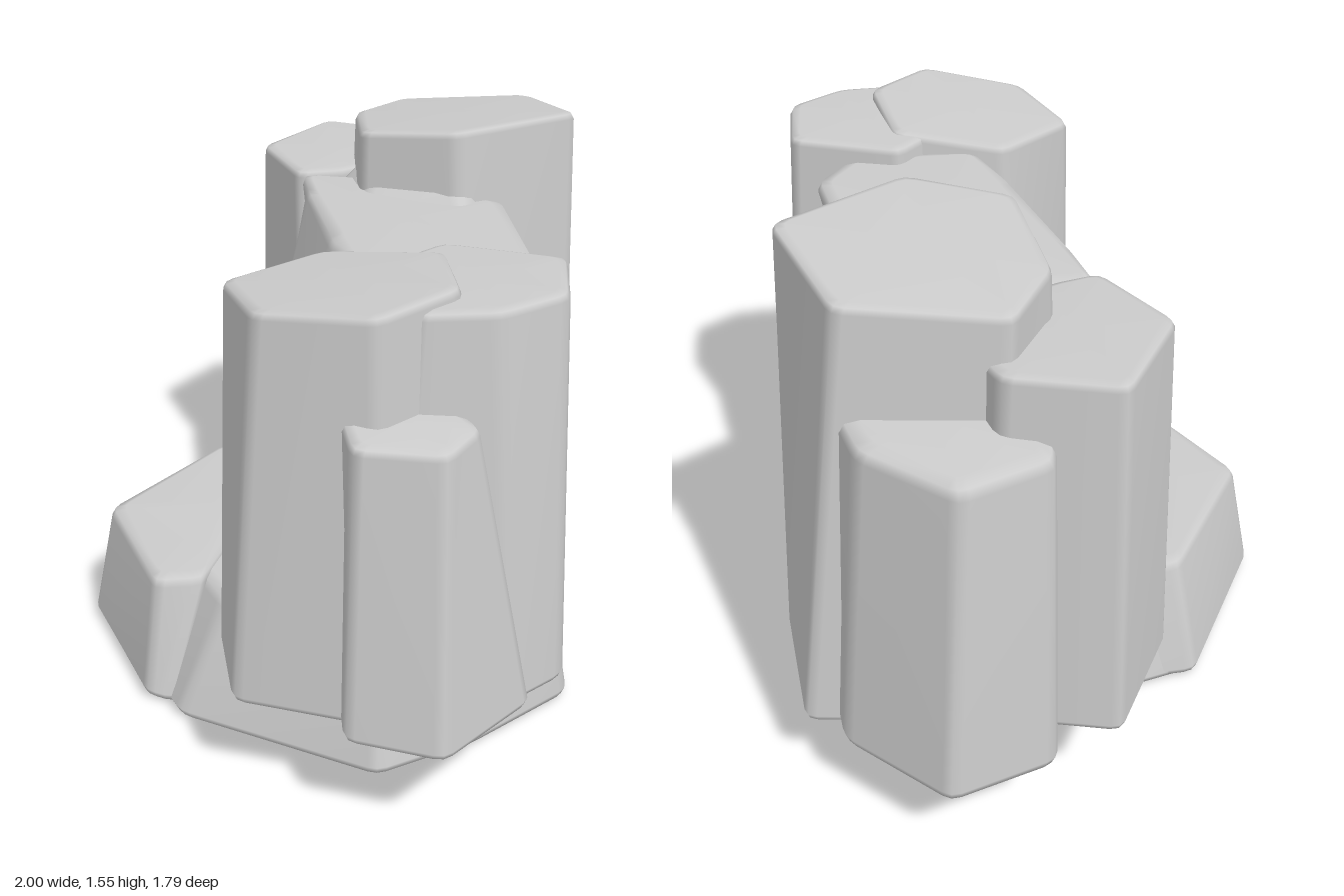
import * as THREE from 'three';

const material = new THREE.MeshStandardMaterial({ color: 0xcccccc });

// Replace each corner of an [x, z] outline by a short three-point curve.
function roundCorners(outline, r) {
  const n = outline.length, out = [];
  const toward = (p, q) => {
    const d = Math.hypot(q[0] - p[0], q[1] - p[1]);
    const t = Math.min(r / d, 0.4);
    return [p[0] + (q[0] - p[0]) * t, p[1] + (q[1] - p[1]) * t];
  };
  outline.forEach((p, i) => {
    const a = toward(p, outline[(i + n - 1) % n]), b = toward(p, outline[(i + 1) % n]);
    out.push(a, [(a[0] + 2 * p[0] + b[0]) / 4, (a[1] + 2 * p[1] + b[1]) / 4], b);
  });
  return out;
}

const centre = (o) => [0, 1].map((k) => o.reduce((s, p) => s + p[k], 0) / o.length);

// Move an outline a fixed distance towards its centre.
function inset(outline, d) {
  const [cx, cz] = centre(outline);
  return outline.map(([x, z]) => {
    const k = 1 - d / Math.hypot(x - cx, z - cz);
    return [cx + (x - cx) * k, cz + (z - cz) * k];
  });
}

// Tapered stone between two outlines, with softened rims and a tilted top.
// Outlines run from +x towards +z; tilt is the top's slope along x and z.
function stone(name, bottom, top, y0, y1, { tilt = [0, 0], bevel = 0.022, round = 0.03 } = {}) {
  const lo = roundCorners(bottom, round), hi = roundCorners(top, round);
  const c = centre(hi), n = lo.length;
  const topY = (p, drop) => y1 - drop + tilt[0] * (p[0] - c[0]) + tilt[1] * (p[1] - c[1]);
  const flat = (y) => () => y;
  const rings = [
    [inset(lo, bevel * 1.3), flat(y0)],
    [inset(lo, bevel * 0.3), flat(y0 + bevel * 0.3)],
    [lo, flat(y0 + bevel)],
    [hi, (p) => topY(p, bevel)],
    [inset(hi, bevel * 0.4), (p) => topY(p, bevel * 0.3)],
    [inset(hi, bevel * 1.5), (p) => topY(p, 0)],
  ];
  const pos = [], index = [];
  for (const [ring, y] of rings) for (const p of ring) pos.push(p[0], y(p), p[1]);
  const cl = centre(lo), base = rings.length * n;
  pos.push(cl[0], y0, cl[1], c[0], y1, c[1]);
  for (let j = 0; j < n; j++) {
    const k = (j + 1) % n, last = (rings.length - 1) * n;
    for (let i = 0; i < rings.length - 1; i++) {
      const a = i * n + j, b = i * n + k;
      index.push(a, a + n, b, b, a + n, b + n);
    }
    index.push(base, j, k, base + 1, last + k, last + j);
  }
  const geometry = new THREE.BufferGeometry();
  geometry.setAttribute('position', new THREE.Float32BufferAttribute(pos, 3));
  geometry.setIndex(index);
  geometry.computeVertexNormals();
  const mesh = new THREE.Mesh(geometry, material);
  mesh.name = name;
  return mesh;
}

function cluster(name, ...stones) {
  const group = new THREE.Group();
  group.name = name;
  group.add(...stones);
  return group;
}

export function createModel() {
  const model = new THREE.Group();
  model.name = 'rockArch';

  // Wide foot with a thicker slab on its open front corner
  model.add(cluster('foot',
    stone('footBase',
      [[0.67, 0.24], [0.62, 0.54], [0.06, 0.84], [-0.6, 0.76], [-0.8, 0.2], [-0.57, -0.32], [0.1, -0.48], [0.65, -0.13]],
      [[0.61, 0.22], [0.55, 0.48], [0.08, 0.7], [-0.5, 0.62], [-0.7, 0.18], [-0.5, -0.27], [0.06, -0.41], [0.61, -0.1]],
      0, 0.37, { bevel: 0.03 }),
    stone('footSlab',
      [[0.0, 0.83], [-0.08, 0.875], [-0.6, 0.78], [-0.82, 0.2], [-0.62, -0.08], [-0.3, 0.1], [-0.1, 0.4]],
      [[-0.02, 0.7], [-0.09, 0.82], [-0.56, 0.72], [-0.73, 0.2], [-0.6, 0], [-0.36, 0.16], [-0.22, 0.44]],
      0.005, 0.39, { bevel: 0.03 })));

  // Pillars on the model's left, front side
  model.add(cluster('leftPillars',
    stone('leftFrontPillar',
      [[0.8, 0.66], [0.48, 0.9], [0.2, 0.77], [0.09, 0.4], [0.42, 0.1], [0.78, 0.3]],
      [[0.75, 0.62], [0.47, 0.79], [0.18, 0.7], [0.165, 0.38], [0.44, 0.18], [0.72, 0.35]],
      0.33, 1.405, { tilt: [0.1, -0.03] }),
    stone('leftBackPillar',
      [[0.93, 0.34], [0.75, 0.6], [0.35, 0.5], [0.28, 0.12], [0.66, -0.085], [0.92, 0.15]],
      [[0.845, 0.33], [0.73, 0.5], [0.4, 0.45], [0.35, 0.12], [0.64, -0.06], [0.85, 0.12]],
      0.34, 1.405, { tilt: [0.02, 0] }),
    stone('leftLowPillar',
      [[1.005, 0.61], [0.79, 0.765], [0.55, 0.62], [0.62, 0.3], [0.945, 0.28]],
      [[0.93, 0.55], [0.79, 0.73], [0.55, 0.62], [0.62, 0.4], [0.87, 0.4]],
      0.33, 1.155, { tilt: [-0.12, 0] })));

  // Pillars on the model's right, back side
  model.add(cluster('rightPillars',
    stone('tallPillar',
      [[0.06, -0.2], [-0.27, -0.02], [-0.62, -0.2], [-0.7, -0.55], [-0.32, -0.91], [0.045, -0.66]],
      [[-0.02, -0.22], [-0.28, -0.06], [-0.59, -0.26], [-0.68, -0.5], [-0.37, -0.8], [0.01, -0.66]],
      0.24, 1.515, { tilt: [0.11, 0.01] }),
    stone('rightFrontPillar',
      [[-0.42, -0.1], [-0.5, 0.03], [-0.86, -0.03], [-1.01, -0.41], [-0.73, -0.62], [-0.45, -0.5]],
      [[-0.46, -0.12], [-0.52, 0.01], [-0.83, -0.06], [-0.955, -0.4], [-0.7, -0.57], [-0.5, -0.5]],
      0.32, 1.355, { tilt: [-0.02, 0] }),
    stone('rightBackPillar',
      [[-0.3, -0.5], [-0.6, -0.2], [-0.92, -0.56], [-0.815, -0.85], [-0.46, -0.895], [-0.32, -0.8]],
      [[-0.3, -0.5], [-0.6, -0.25], [-0.86, -0.54], [-0.78, -0.79], [-0.49, -0.85], [-0.32, -0.77]],
      0.24, 1.2, { tilt: [0.06, 0.06], bevel: 0.035 })));

  // Bridge joining the two pillar groups
  model.add(stone('bridge',
    [[0.5, 0.1], [0.25, 0.42], [-0.02, 0.37], [-0.38, 0.16], [-0.52, -0.05], [-0.3, -0.3], [0.02, -0.32], [0.44, -0.05]],
    [[0.52, 0.08], [0.28, 0.36], [0.05, 0.28], [-0.38, 0.07], [-0.54, -0.02], [-0.3, -0.3], [0.02, -0.375], [0.48, -0.1]],
    1.0, 1.345, { tilt: [0, 0.04], bevel: 0.035 }));

  // Sloping webs where the pillars meet the bridge and foot
  model.add(cluster('webs',
    stone('leftFootWeb',
      [[0.4, 0.2], [0.34, 0.74], [0.08, 0.7], [0.0, 0.45], [0.0, 0.22], [0.2, 0.0]],
      [[0.4, 0.2], [0.34, 0.62], [0.2, 0.56], [0.14, 0.42], [0.13, 0.3], [0.3, 0.13]], 0.25, 0.6),
    stone('saddle',
      [[0.38, 0.0], [0.2, 0.35], [-0.25, 0.15], [-0.3, -0.2], [0.05, -0.38]],
      [[0.26, 0.06], [0.14, 0.26], [-0.05, 0.0], [-0.2, -0.2], [0.0, -0.28]], 0.3, 0.45, { tilt: [0.12, 0] }),
    stone('rightFootWeb',
      [[0.1, -0.2], [-0.15, 0.08], [-0.5, 0.1], [-0.6, -0.3], [0.06, -0.36]],
      [[0.0, -0.22], [-0.22, -0.06], [-0.48, 0.0], [-0.55, -0.3], [0.0, -0.34]], 0.3, 0.44),
    stone('bridgeShoulder',
      [[0.08, -0.18], [-0.2, 0.02], [-0.48, -0.06], [-0.4, -0.3], [0.01, -0.33]],
      [[-0.03, -0.23], [-0.26, -0.08], [-0.46, -0.16], [-0.4, -0.3], [-0.04, -0.32]],
      1.25, 1.39, { tilt: [0.06, 0] })));

  return model;
}
